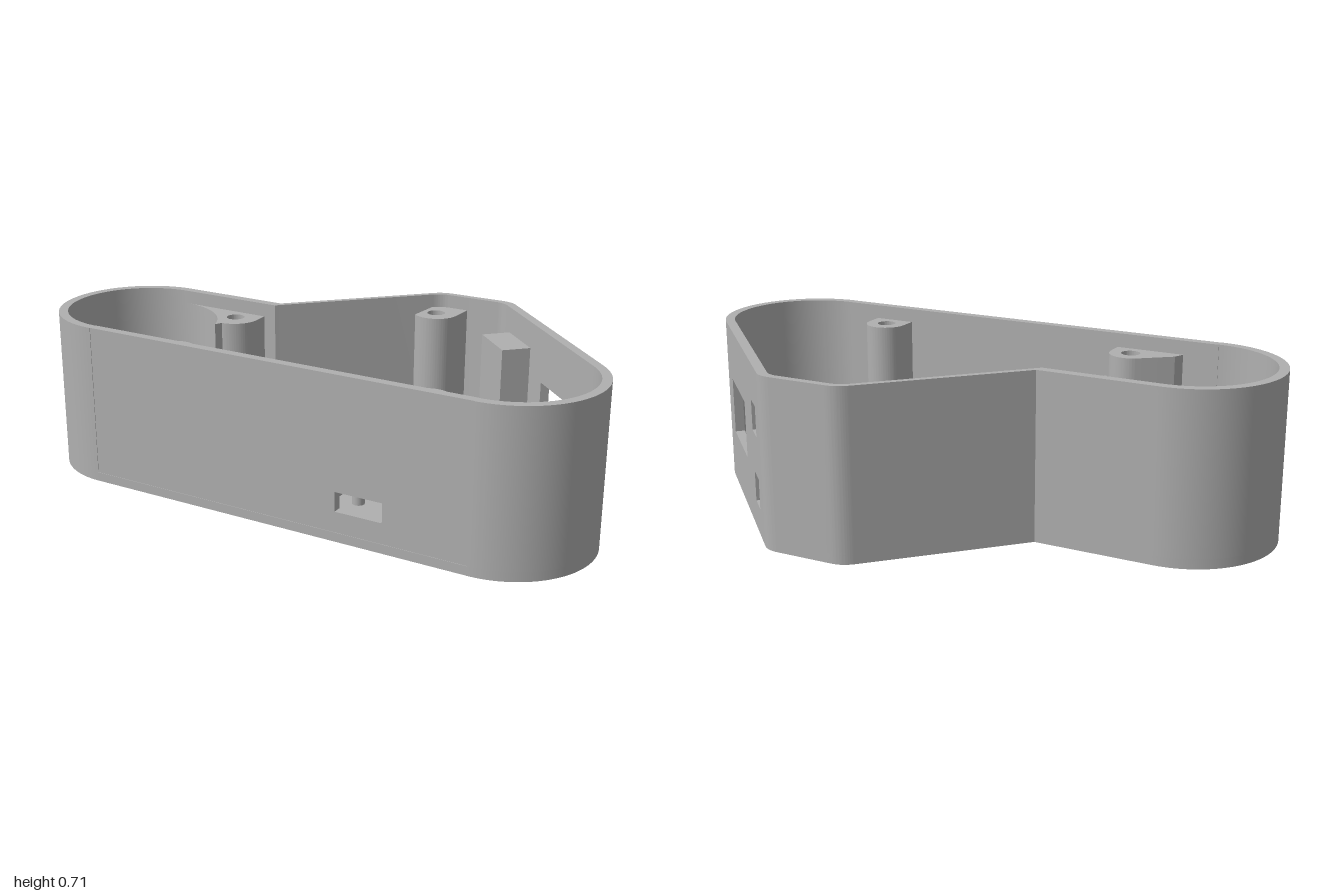
import * as THREE from 'three';
import { toCreasedNormals } from 'three/addons/utils/BufferGeometryUtils.js';

const H = 0.705, FLOOR = 0.04, T = 0.04, BOSS = 0.645;
const R = 0.37, RI = R - T, C = 0.63; // rounded ends: outer radius, inner radius, centre offset
const rad = THREE.MathUtils.degToRad;

export function createModel() {
  const model = new THREE.Group();
  const plastic = new THREE.MeshStandardMaterial({ color: 0xb0b0b0 });
  plastic.name = 'grey plastic';

  function add(name, geometry, parent = model) {
    const mesh = new THREE.Mesh(geometry, plastic);
    mesh.name = name;
    parent.add(mesh);
    return mesh;
  }
  const extrude = (shape, depth) => toCreasedNormals(
    new THREE.ExtrudeGeometry(shape, { depth, bevelEnabled: false, curveSegments: 40 }), rad(25));
  // plan shapes use (x, -z) and rise from y0 to y1
  const rise = (name, shape, y0, y1, parent) =>
    add(name, extrude(shape, y1 - y0).rotateX(-Math.PI / 2).translate(0, y0, 0), parent);
  const polygon = pts => new THREE.Shape(pts.map(p => new THREE.Vector2(...p)));
  const rect = (x0, y0, x1, y1) => polygon([[x0, y0], [x1, y0], [x1, y1], [x0, y1]]);
  const arc = (s, x, y, r, a, b, cw = false) => s.absarc(x, y, r, rad(a), rad(b), cw);
  const box = (name, x0, x1, y0, y1, z0, z1, parent) => add(name,
    new THREE.BoxGeometry(x1 - x0, y1 - y0, z1 - z0)
      .translate((x0 + x1) / 2, (y0 + y1) / 2, (z0 + z1) / 2), parent);
  function drill(shape, x, y, r) {
    const hole = new THREE.Path();
    hole.absarc(x, y, r, 0, Math.PI * 2);
    shape.holes.push(hole);
    return shape;
  }

  // outer edge from the right wall, round the back, to the far side of the hub
  function backEdge(s) {
    s.lineTo(1, 0.26);
    s.quadraticCurveTo(1, 0.3, 0.965, 0.335);
    s.lineTo(0.79, 0.505);
    s.quadraticCurveTo(0.755, 0.54, 0.705, 0.54);
    s.lineTo(-0.02, 0.54);
    arc(s, -C, C, R, 45, 225);
  }

  // floor with round opening
  const floor = new THREE.Shape();
  arc(floor, C, -C, R, -135, 0);
  backEdge(floor);
  rise('floor', drill(floor, 0.63, -0.63, 0.185), 0, FLOOR);

  // rounded front wall
  const front = new THREE.Shape();
  arc(front, C, -C, R, -135, 0);
  arc(front, C, -C, RI, 0, -135, true);
  rise('roundedFrontWall', front, FLOOR, H);

  // back wall and hub wall
  const back = new THREE.Shape();
  back.moveTo(0.96, 0.26);
  backEdge(back);
  arc(back, -C, C, RI, 225, 45, true);
  back.lineTo(-0.052, 0.515);
  back.lineTo(0.695, 0.515);
  back.quadraticCurveTo(0.74, 0.515, 0.77, 0.482);
  back.lineTo(0.935, 0.32);
  back.quadraticCurveTo(0.96, 0.295, 0.96, 0.26);
  rise('backWall', back, FLOOR, H);

  // flat side wall with window and two switch openings
  const side = rect(-C, FLOOR, 0.26, H);
  const slots = [[0.12, 0.245], [0.42, 0.545]];
  side.holes.push(rect(-0.52, 0.235, -0.15, 0.475));
  for (const [a, b] of slots) side.holes.push(rect(0.06, a, 0.165, b));
  add('sideWall', extrude(side, T).rotateY(Math.PI / 2).translate(0.96, 0, 0));

  // switch housing behind the openings
  const housing = rect(-0.02, FLOOR, 0.22, 0.59);
  for (const [a, b] of slots) housing.holes.push(rect(0.06, a, 0.165, b));
  add('switchHousing', extrude(housing, 0.08).rotateY(Math.PI / 2).translate(0.88, 0, 0));
  box('switchHousingBack', 0.83, 0.88, FLOOR, 0.59, -0.22, 0.02);

  // long diagonal wall with port opening; local x runs along it, local z points out
  const diagonal = new THREE.Group();
  diagonal.name = 'diagonalSide';
  diagonal.position.set(-0.26, 0, 0.26);
  diagonal.rotation.y = -Math.PI / 4;
  model.add(diagonal);
  const long = rect(-0.891, FLOOR, 0.891, H);
  long.holes.push(rect(0.311, 0.13, 0.523, 0.215));
  add('diagonalWall', extrude(long, T).translate(0, 0, -T), diagonal);

  // port cradle
  box('cradleBase', 0.283, 0.55, FLOOR, 0.12, -0.22, -T, diagonal);
  const block = rect(0.283, 0.2, 0.55, 0.38);
  block.holes.push(rect(0.365, 0.23, 0.468, 0.33));
  rise('cradleBlock', block, FLOOR, 0.21, diagonal);
  for (const x of [0.342, 0.491]) {
    add('cradlePeg', new THREE.CylinderGeometry(0.026, 0.026, 0.04, 24)
      .translate(x, 0.14, -0.14), diagonal);
  }

  // raised hub seat
  const seat = new THREE.Shape();
  arc(seat, -C, C, RI, -28, 256);
  rise('hubSeat', drill(seat, -C, C, 0.255), FLOOR, 0.06);

  // screw posts
  const hubPost = new THREE.Shape();
  hubPost.moveTo(-0.39, 0.88);
  arc(hubPost, -C, C, RI, 45, -25, true);
  arc(hubPost, -0.22, 0.58, 0.11, 225, 315);
  hubPost.lineTo(-0.08, 0.57);
  rise('screwPost', drill(hubPost, -0.22, 0.58, 0.04), FLOOR, BOSS);

  const sidePost = new THREE.Shape();
  sidePost.moveTo(-0.76, 0.29);
  sidePost.lineTo(-0.71, 0.31);
  arc(sidePost, -0.56, 0.2, 0.09, 80, -45, true);
  sidePost.lineTo(-0.555, 0.08);
  rise('screwPost', drill(sidePost, -0.56, 0.2, 0.04), FLOOR, BOSS);

  const cornerPost = new THREE.Shape();
  cornerPost.moveTo(0.58, 0.52);
  arc(cornerPost, 0.68, 0.42, 0.1, 180, 315);
  cornerPost.lineTo(0.84, 0.43);
  cornerPost.lineTo(0.76, 0.51);
  cornerPost.lineTo(0.7, 0.52);
  rise('screwPost', drill(cornerPost, 0.68, 0.42, 0.04), FLOOR, BOSS);

  const frontPost = new THREE.Shape();
  arc(frontPost, 0.28, -0.64, 0.09, -45, 135);
  frontPost.lineTo(0.16, -0.632);
  frontPost.lineTo(0.287, -0.76);
  rise('screwPost', drill(frontPost, 0.28, -0.64, 0.04), FLOOR, BOSS);

  // slotted board holders
  for (const [x, z, length, width] of [[-0.22, -0.21, 0.62, 0.113], [0.117, 0.012, 0.71, 0.127]]) {
    const l = length / 2, w = width / 2, s = l - 0.085;
    const holder = rect(-l, -w, l, w);
    holder.holes.push(polygon([[-s, -0.017], [s, -0.017], [s, 0.017], [s * 0.5, 0.017],
      [s * 0.5, 0.034], [-s * 0.3, 0.034], [-s * 0.3, 0.017], [-s, 0.017]]));
    const mesh = rise('boardHolder', holder, FLOOR, 0.14);
    mesh.position.set(x, 0, z);
    mesh.rotation.y = Math.PI / 4;
  }
  return model;
}
